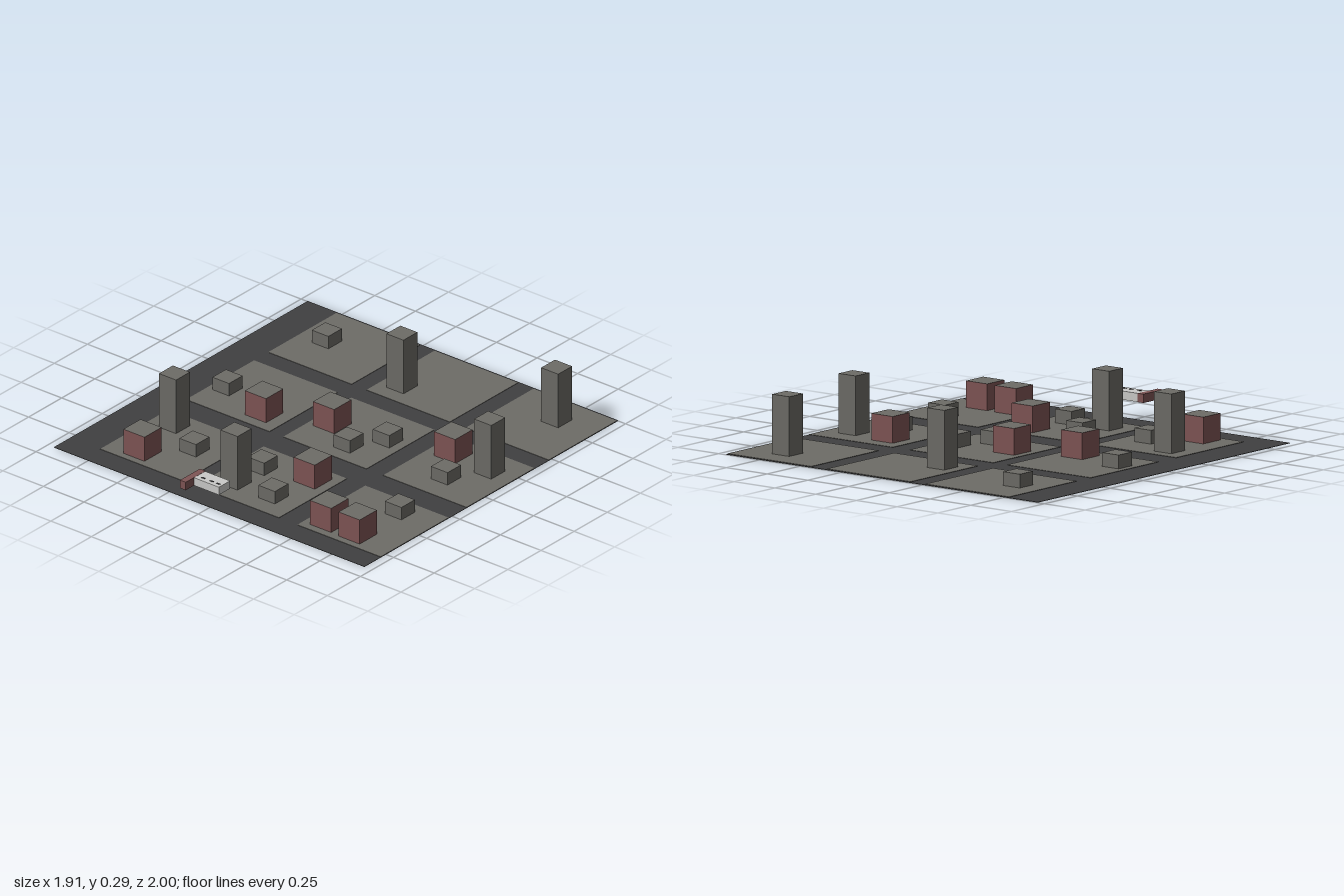
import * as THREE from 'three';

const mat = (name, color) => {
  const m = new THREE.MeshStandardMaterial({ color });
  m.name = name;
  return m;
};

export function createModel() {
  const city = new THREE.Group();
  city.name = 'cityBlocks';

  const asphalt = mat('asphalt', 0x404041);
  const concrete = mat('concrete', 0x6d6c67);
  const brick = mat('brick', 0x7f5555);
  const white = mat('paleWhite', 0xcbcbc9);
  const dark = mat('darkDetail', 0x38383a);

  // Axis-aligned box given by its minimum and maximum corners
  const box = (name, material, [x0, y0, z0], [x1, y1, z1], parent = city) => {
    const mesh = new THREE.Mesh(new THREE.BoxGeometry(x1 - x0, y1 - y0, z1 - z0), material);
    mesh.position.set((x0 + x1) / 2, (y0 + y1) / 2, (z0 + z1) / 2);
    mesh.name = name;
    parent.add(mesh);
    return mesh;
  };

  // Road base
  box('roadBase', asphalt, [-0.96, 0.001, -1], [0.955, 0.003, 0.915]);

  // Nine paved blocks, the middle column drifting slightly to the right at the back
  const columns = [[-0.775, -0.775, -0.775], [-0.17, -0.177, -0.187], [0.44, 0.44, 0.44]];
  const rows = [-0.99, -0.37, 0.278];
  rows.forEach((z, r) => columns.forEach((xs) => {
    box('pavedBlock', concrete, [xs[r], 0.003, z], [xs[r] + 0.514, 0.005, z + 0.513]);
  }));

  // Buildings: concrete roofs, brick undersides, walls by type
  const types = {
    tower: { size: 0.105, height: 0.295, wall: concrete },
    house: { size: 0.13, height: 0.135, wall: brick },
    hut: { size: 0.102, height: 0.072, wall: concrete },
  };
  const sites = {
    tower: [[-0.645, 0.39], [-0.055, 0.648], [-0.06, -0.61], [0.73, -0.81], [0.812, -0.205]],
    house: [[-0.395, 0.02], [-0.073, -0.1], [0.567, -0.23], [-0.597, 0.69],
      [0.212, 0.395], [0.55, 0.685], [0.73, 0.69]],
    hut: [[-0.625, -0.735], [-0.69, -0.065], [0.237, -0.14], [0.125, 0.02], [0.69, -0.025],
      [-0.42, 0.515], [-0.048, 0.455], [0.173, 0.645], [0.743, 0.388]],
  };
  for (const [name, spots] of Object.entries(sites)) {
    const { size, height, wall } = types[name];
    const h = size / 2;
    for (const [x, z] of spots) {
      box(name, [wall, wall, concrete, brick, wall, wall], [x - h, 0, z - h], [x + h, height, z + h]);
    }
  }

  // Small L-shaped building hovering at the front edge
  const annex = new THREE.Group();
  annex.name = 'hoveringAnnex';
  city.add(annex);
  box('whiteWing', white, [-0.077, 0.103, 0.853], [0.076, 0.145, 0.937], annex);
  box('brickWing', brick, [-0.112, 0.103, 0.85], [-0.077, 0.146, 1], annex);
  for (const x of [-0.04, 0.012, 0.052]) {
    box('roofVent', dark, [x - 0.01, 0.144, 0.907], [x + 0.01, 0.147, 0.916], annex);
  }

  return city;
}
